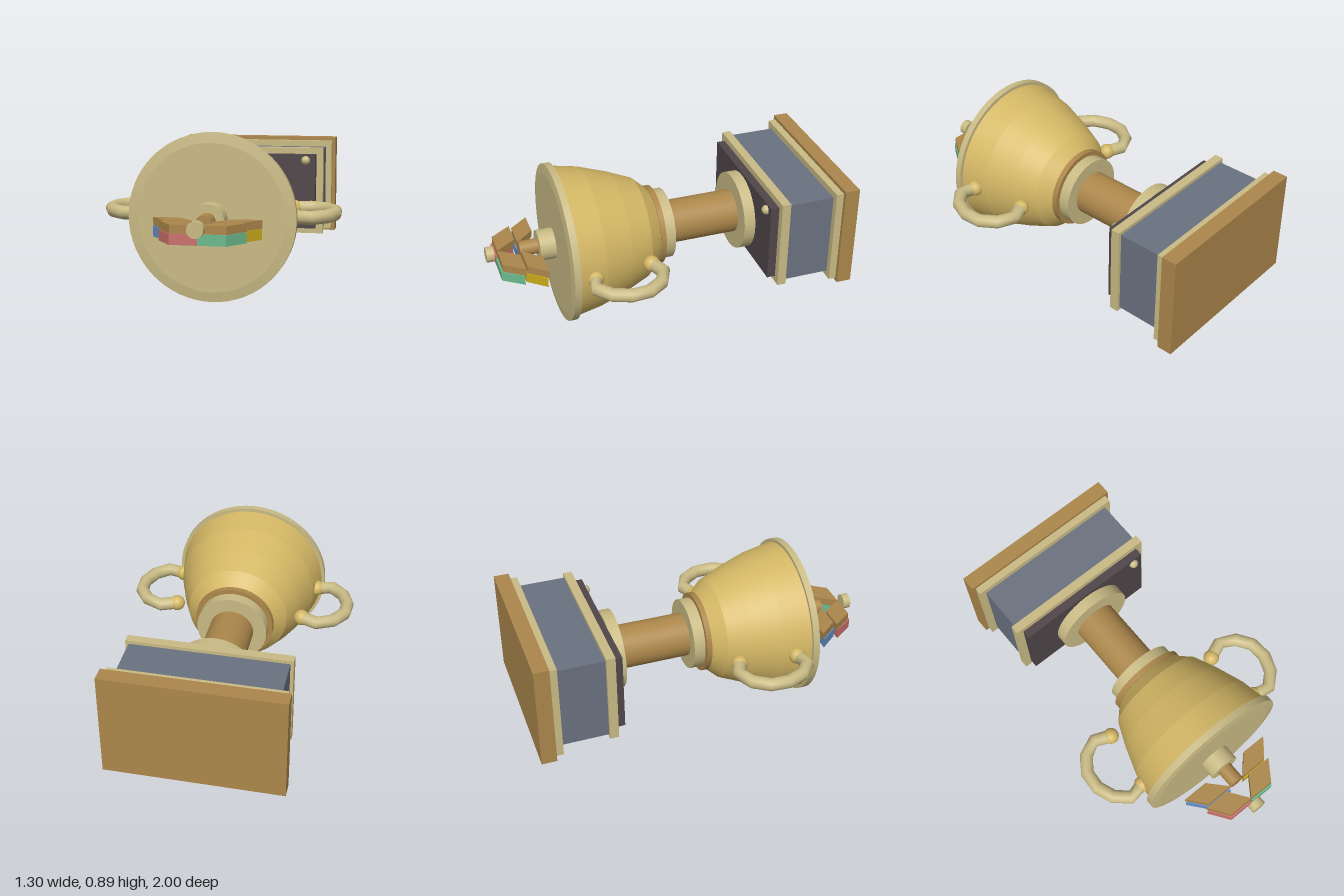
import * as THREE from 'three';

const CY = 0.447; // height of the trophy's long axis, which runs along z

function mat(name, color) {
  const m = new THREE.MeshStandardMaterial({ color });
  m.name = name;
  return m;
}

export function createModel() {
  const group = new THREE.Group();
  const paleGold = mat('pale gold', 0xc9bb85);
  const gold = mat('gold', 0xd4b765);
  const bronze = mat('bronze', 0xac874b);
  const slate = mat('slate', 0x6b7280);
  const dark = mat('dark brown', 0x50464a);
  const red = mat('red', 0xcc716c);
  const green = mat('green', 0x6cba8e);
  const blue = mat('blue', 0x658fc9);
  const yellow = mat('yellow', 0xc8a81c);

  const add = (name, geo, material, x = 0, y = 0, z = 0) => {
    const mesh = new THREE.Mesh(geo, material);
    mesh.name = name;
    mesh.position.set(x, y, z);
    group.add(mesh);
    return mesh;
  };
  // Box given by half width and its y and z ranges
  const slab = (name, hw, y0, y1, z0, z1, m) =>
    add(name, new THREE.BoxGeometry(hw * 2, y1 - y0, z1 - z0), m, 0, (y0 + y1) / 2, (z0 + z1) / 2);
  // Cylinder or cone along z, with back and front radius
  const round = (name, r0, r1, z0, z1, m, open = false) =>
    add(name, new THREE.CylinderGeometry(r1, r0, z1 - z0, 64, 1, open).rotateX(Math.PI / 2), m, 0, CY, (z0 + z1) / 2);

  // Plinth
  slab('plinthFoot', 0.485, 0.15, 0.75, -1, -0.915, bronze);
  slab('plinthLowerTrim', 0.465, 0.168, 0.73, -0.915, -0.873, paleGold);
  slab('plinthBlock', 0.428, 0.203, 0.693, -0.873, -0.61, slate);
  slab('plinthUpperTrim', 0.446, 0.185, 0.712, -0.61, -0.56, paleGold);
  slab('plinthTop', 0.405, 0.222, 0.675, -0.56, -0.512, dark);
  slab('namePlate', 0.32, 0.178, 0.205, -0.775, -0.665, gold);
  add('plinthStud', new THREE.SphereGeometry(0.027, 20, 14), paleGold, 0.345, 0.64, -0.51);

  // Stem and collars
  round('stemFoot', 0.224, 0.224, -0.505, -0.44, paleGold);
  round('stem', 0.124, 0.124, -0.44, -0.035, bronze);
  round('stemCollar', 0.2, 0.2, -0.037, 0.03, paleGold);
  round('cupRing', 0.226, 0.226, 0.027, 0.058, bronze);

  // Cup as a stack of conical bands
  const profile = [[0.22, 0.057], [0.288, 0.13], [0.343, 0.26], [0.397, 0.42], [0.427, 0.577]];
  for (let i = 0; i < profile.length - 1; i++) {
    const [r0, z0] = profile[i], [r1, z1] = profile[i + 1];
    round('cupBand', r0, r1, z0, z1, gold, true);
  }
  round('rim', 0.445, 0.445, 0.574, 0.612, paleGold);
  round('rimBevel', 0.445, 0.392, 0.612, 0.62, paleGold);

  // Handles with end knobs
  const path = [[0.37, 0.165], [0.48, 0.127], [0.585, 0.21], [0.617, 0.315], [0.57, 0.455], [0.48, 0.517], [0.41, 0.49]];
  for (const s of [1, -1]) {
    const side = s > 0 ? 'left' : 'right';
    const curve = new THREE.CatmullRomCurve3(path.map(([x, z]) => new THREE.Vector3(s * x, CY, z)));
    add(side + 'Handle', new THREE.TubeGeometry(curve, 7, 0.037, 14), paleGold);
    for (const [x, z] of [path[0], path[path.length - 1]])
      add(side + 'HandleKnob', new THREE.SphereGeometry(0.045, 24, 16), gold, s * x, CY, z);
  }

  // Finial on the cup's face
  round('finialBoss', 0.087, 0.087, 0.62, 0.71, paleGold);
  round('finialStem', 0.043, 0.043, 0.71, 0.815, bronze);
  round('finialTip', 0.043, 0.043, 0.957, 1, paleGold);

  // Slanted vanes: a bronze upper half over a coloured lower half
  const vane = (name, pts, s, y0, y1, dz, m) => {
    const shape = new THREE.Shape(pts.map(([x, z]) => new THREE.Vector2(s * x, -(z + dz))));
    const geo = new THREE.ExtrudeGeometry(shape, { depth: y1 - y0, bevelEnabled: false });
    add(name, geo.rotateX(-Math.PI / 2), m, 0, y0, 0);
  };
  const inner = [[0.225, 0.822], [0.08, 0.822], [0, 0.935], [0.145, 0.935]];
  const outer = [[0.285, 0.71], [0.14, 0.71], [0.045, 0.812], [0.2, 0.812]];
  for (const [pts, s, m] of [[inner, 1, green], [inner, -1, red], [outer, 1, yellow], [outer, -1, blue]]) {
    vane('vaneUpper', pts, s, 0.417, 0.461, 0, bronze);
    vane('vaneLower', pts, s, 0.361, 0.417, 0.01, m);
  }
  return group;
}
